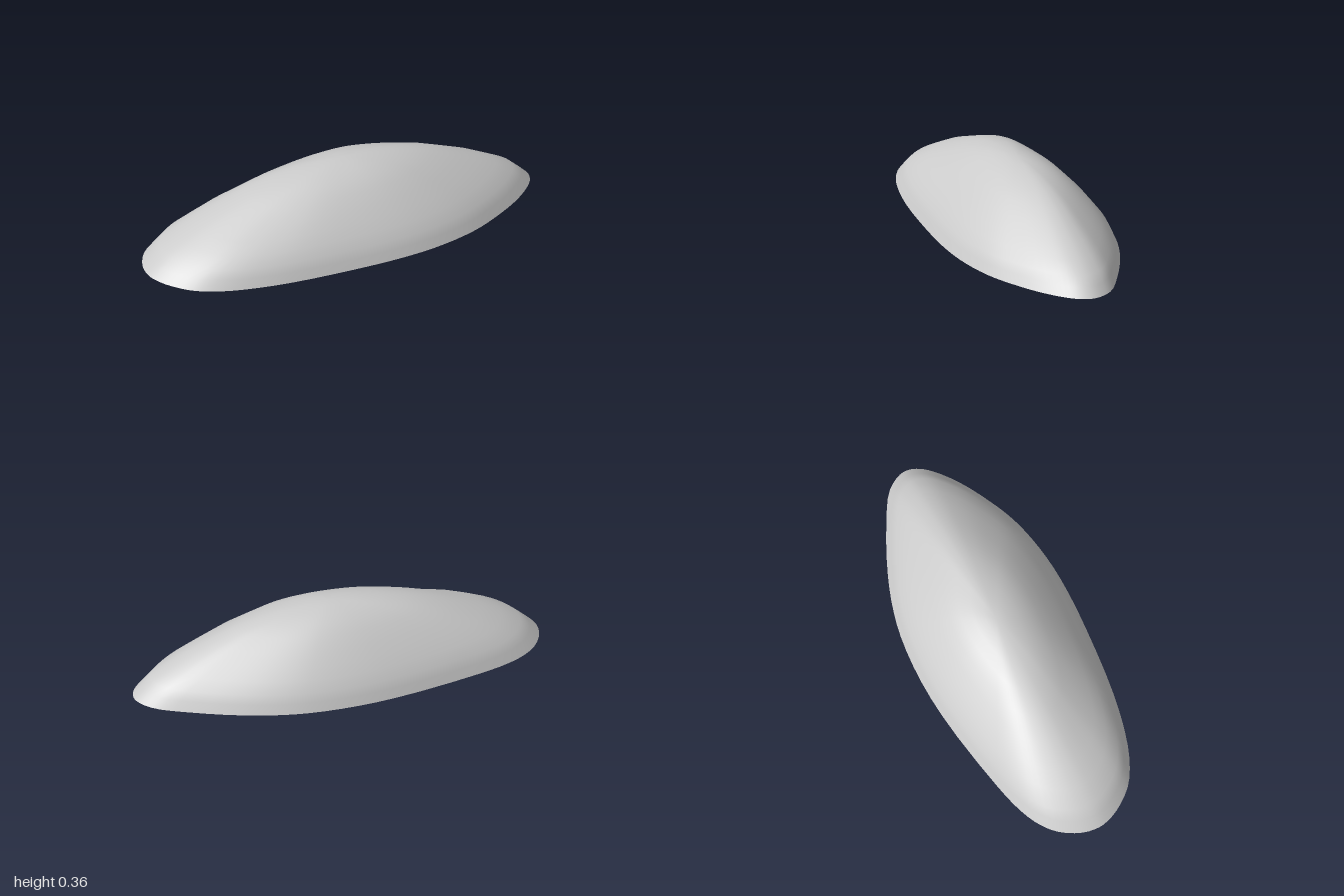
import * as THREE from 'three';

// Footprint as [x, z], from the left tip round the front to the right end and back
const OUTLINE = [
  [1, 0], [0.98, 0.06], [0.93, 0.12], [0.83, 0.2], [0.7, 0.275], [0.57, 0.335], [0.43, 0.375],
  [0.27, 0.4], [0.1, 0.407], [-0.1, 0.4], [-0.4, 0.375], [-0.6, 0.34], [-0.75, 0.295],
  [-0.87, 0.23], [-0.95, 0.14], [-0.99, 0.06], [-1, 0], [-0.985, -0.08], [-0.93, -0.175],
  [-0.85, -0.24], [-0.75, -0.285], [-0.6, -0.325], [-0.2, -0.395], [0.05, -0.41],
  [0.27, -0.395], [0.43, -0.36], [0.6, -0.3], [0.8, -0.205], [0.94, -0.12], [0.99, -0.05],
];
// Rise of the dome as [share of the footprint radius, height]
const PROFILE = [
  [1, 0], [0.955, 0.044], [0.91, 0.085], [0.82, 0.132], [0.73, 0.178], [0.61, 0.228],
  [0.49, 0.277], [0.36, 0.314], [0.24, 0.338], [0.12, 0.352], [0, 0.357],
];
const APEX = { x: 0.03, z: -0.01 };
const SIDES = 80;

export function createModel() {
  const group = new THREE.Group();
  const material = new THREE.MeshStandardMaterial({ color: 0xcccccc });

  const curve = new THREE.CatmullRomCurve3(
    OUTLINE.map(([x, z]) => new THREE.Vector3(x, 0, z)), true);
  const rim = curve.getPoints(SIDES).slice(0, SIDES);

  // Dome: the footprint shrinks toward the apex, with a shallow hollow at front right
  const rings = PROFILE.slice(0, -1);
  const positions = [];
  const indices = [];
  for (const [s, h] of rings) {
    for (const p of rim) {
      const x = APEX.x + (p.x - APEX.x) * s;
      const z = APEX.z + (p.z - APEX.z) * s;
      const hollow = Math.exp(-(((x + 0.45) / 0.25) ** 2) - ((z - 0.18) / 0.13) ** 2);
      positions.push(x, h * (1 - 0.09 * hollow), z);
    }
  }
  positions.push(APEX.x, 0.357, APEX.z);
  const top = rings.length * SIDES;
  for (let r = 0; r < rings.length; r++) {
    for (let i = 0; i < SIDES; i++) {
      const a = r * SIDES + i;
      const b = r * SIDES + (i + 1) % SIDES;
      if (r === rings.length - 1) indices.push(a, top, b);
      else indices.push(a, a + SIDES, b, b, a + SIDES, b + SIDES);
    }
  }
  const domeGeometry = new THREE.BufferGeometry();
  domeGeometry.setAttribute('position', new THREE.Float32BufferAttribute(positions, 3));
  domeGeometry.setIndex(indices);
  domeGeometry.computeVertexNormals();
  const dome = new THREE.Mesh(domeGeometry, material);
  dome.name = 'dome';
  group.add(dome);

  // Flat underside facing down
  const shape = new THREE.Shape(rim.map((p) => new THREE.Vector2(p.x, p.z)));
  const base = new THREE.Mesh(new THREE.ShapeGeometry(shape).rotateX(Math.PI / 2), material);
  base.name = 'base';
  group.add(base);

  return group;
}
